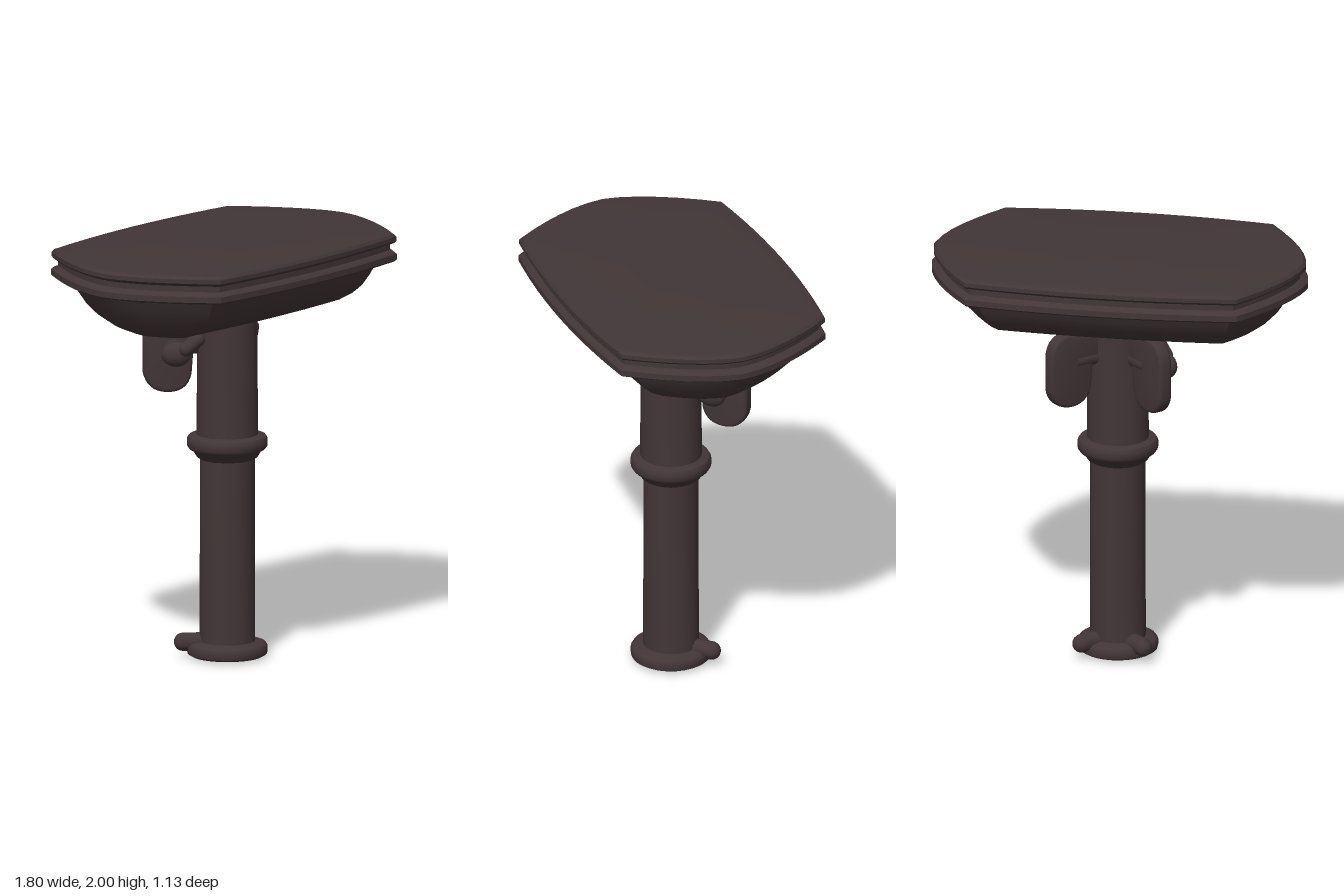
import * as THREE from 'three';
import { toCreasedNormals } from 'three/addons/utils/BufferGeometryUtils.js';

const N = 12; // steps per side of the barrel-shaped outline

// Barrel outline: corners at (cx, 0.92 hz), ends bulging to tip, long sides to hz
function outline(cx, tip, hz) {
  const pts = [];
  const cz = hz * 0.92;
  const end = (t) => [cx + (tip - cx) * (1 - Math.abs(t) ** 1.6), -cz * t];
  const side = (t) => [-cx * t, -(cz + (hz - cz) * (1 - t * t))];
  for (const s of [1, -1]) {
    for (const f of [end, side]) {
      for (let i = 0; i < N; i++) {
        const [x, z] = f(-1 + (2 * i) / N);
        pts.push([x * s, z * s]);
      }
    }
  }
  return pts;
}

// Skin a stack of outlines, bottom to top: [y, cornerX, tipX, halfDepth]
function loft(rings, crease) {
  const pos = [], idx = [], n = N * 4;
  for (const [y, cx, tip, hz] of rings) {
    for (const [x, z] of outline(cx, tip, hz)) pos.push(x, y, z);
  }
  for (let j = 0; j < rings.length - 1; j++) {
    for (let i = 0; i < n; i++) {
      const a = j * n + i, b = j * n + ((i + 1) % n);
      idx.push(a, b, b + n, a, b + n, a + n);
    }
  }
  const g = new THREE.BufferGeometry();
  g.setAttribute('position', new THREE.Float32BufferAttribute(pos, 3));
  g.setIndex(idx);
  return toCreasedNormals(g, crease);
}

export function createModel() {
  const model = new THREE.Group();
  model.name = 'pedestalTable';
  const iron = new THREE.MeshStandardMaterial({ color: 0x423637 });
  iron.name = 'dark brown iron';

  const add = (parent, name, geo, x = 0, y = 0, z = 0) => {
    const m = new THREE.Mesh(geo, iron);
    m.name = name;
    m.position.set(x, y, z);
    parent.add(m);
    return m;
  };

  // Two-lipped top slab
  add(model, 'tabletop', loft([
    [1.865, 0.58, 0.80, 0.45],
    [1.862, 0.64, 0.88, 0.55],
    [1.872, 0.65, 0.898, 0.563],
    [1.9, 0.65, 0.898, 0.563],
    [1.912, 0.64, 0.88, 0.55],
    [1.918, 0.63, 0.86, 0.535],
    [1.945, 0.63, 0.86, 0.535],
    [1.952, 0.645, 0.878, 0.552],
    [1.962, 0.65, 0.888, 0.56],
    [1.982, 0.65, 0.888, 0.56],
    [1.995, 0.64, 0.875, 0.55],
    [2.0, 0.6, 0.82, 0.51],
    [2.0, 0, 0, 0],
  ], 0.65));

  // Rounded bowl under the slab, with ridges at the corners
  add(model, 'bowl', loft([
    [1.62, 0, 0, 0],
    [1.622, 0.49, 0.52, 0.08],
    [1.637, 0.515, 0.59, 0.19],
    [1.665, 0.535, 0.66, 0.285],
    [1.7, 0.555, 0.71, 0.35],
    [1.745, 0.57, 0.755, 0.405],
    [1.8, 0.59, 0.79, 0.44],
    [1.87, 0.61, 0.83, 0.475],
  ], 0.6));

  // Turned column: foot, shaft, flared collar, thicker upper sleeve
  const profile = [
    [0, 0], [0.17, 0.008], [0.187, 0.018], [0.19, 0.03], [0.19, 0.055], [0.182, 0.068],
    [0.165, 0.074], [0.132, 0.08], [0.13, 0.5], [0.13, 0.955], [0.145, 0.965],
    [0.162, 0.995], [0.18, 1.003], [0.19, 1.018], [0.19, 1.05], [0.182, 1.064],
    [0.165, 1.07], [0.146, 1.073], [0.143, 1.4], [0.141, 1.66],
  ].map(([r, y]) => new THREE.Vector2(r, y));
  add(model, 'column', toCreasedNormals(new THREE.LatheGeometry(profile, 32), 0.7), 0.012, 0, 0.01);

  // Rounded paddle outline in the radial / vertical plane
  const paddle = new THREE.Shape();
  paddle.moveTo(0.15, 1.63);
  paddle.lineTo(0.32, 1.63);
  paddle.quadraticCurveTo(0.38, 1.61, 0.385, 1.54);
  paddle.lineTo(0.385, 1.38);
  paddle.quadraticCurveTo(0.37, 1.3, 0.29, 1.295);
  paddle.quadraticCurveTo(0.2, 1.29, 0.185, 1.37);
  paddle.lineTo(0.175, 1.5);
  paddle.lineTo(0.12, 1.53);
  const paddleGeo = toCreasedNormals(new THREE.ExtrudeGeometry(paddle, {
    depth: 0.03, bevelEnabled: true, bevelSize: 0.015, bevelThickness: 0.02, bevelSegments: 3, curveSegments: 8,
  }).translate(0, 0, -0.015), 0.8);

  // Mirrored clamp handles and foot lugs on the two rear diagonals
  for (const s of [1, -1]) {
    const arm = new THREE.Group();
    arm.name = s > 0 ? 'leftClamp' : 'rightClamp';
    arm.position.set(0.012, 0, 0.01);
    arm.rotation.y = s > 0 ? Math.PI / 4 : (3 * Math.PI) / 4;
    model.add(arm);
    add(arm, 'paddle', paddleGeo);
    add(arm, 'clampBolt', new THREE.CylinderGeometry(0.055, 0.065, 0.1, 16).rotateX(Math.PI / 2), 0.25, 1.48, s * 0.06);
    add(arm, 'clampKnob', new THREE.SphereGeometry(0.065, 18, 12), 0.25, 1.48, s * 0.1).scale.set(1.1, 0.95, 0.7);
    add(arm, 'clampLever', new THREE.CapsuleGeometry(0.035, 0.07, 6, 14).rotateZ(0.9), 0.18, 1.53, s * 0.13);
    add(arm, 'clampStem', new THREE.CylinderGeometry(0.04, 0.04, 0.16, 14).rotateZ(Math.PI / 2), 0.17, 1.5, 0);
    add(arm, 'footLug', new THREE.CapsuleGeometry(0.042, 0.11, 6, 14).rotateZ(Math.PI / 2), 0.155, 0.075, 0)
      .scale.set(1, 1.05, 1);
  }

  return model;
}
